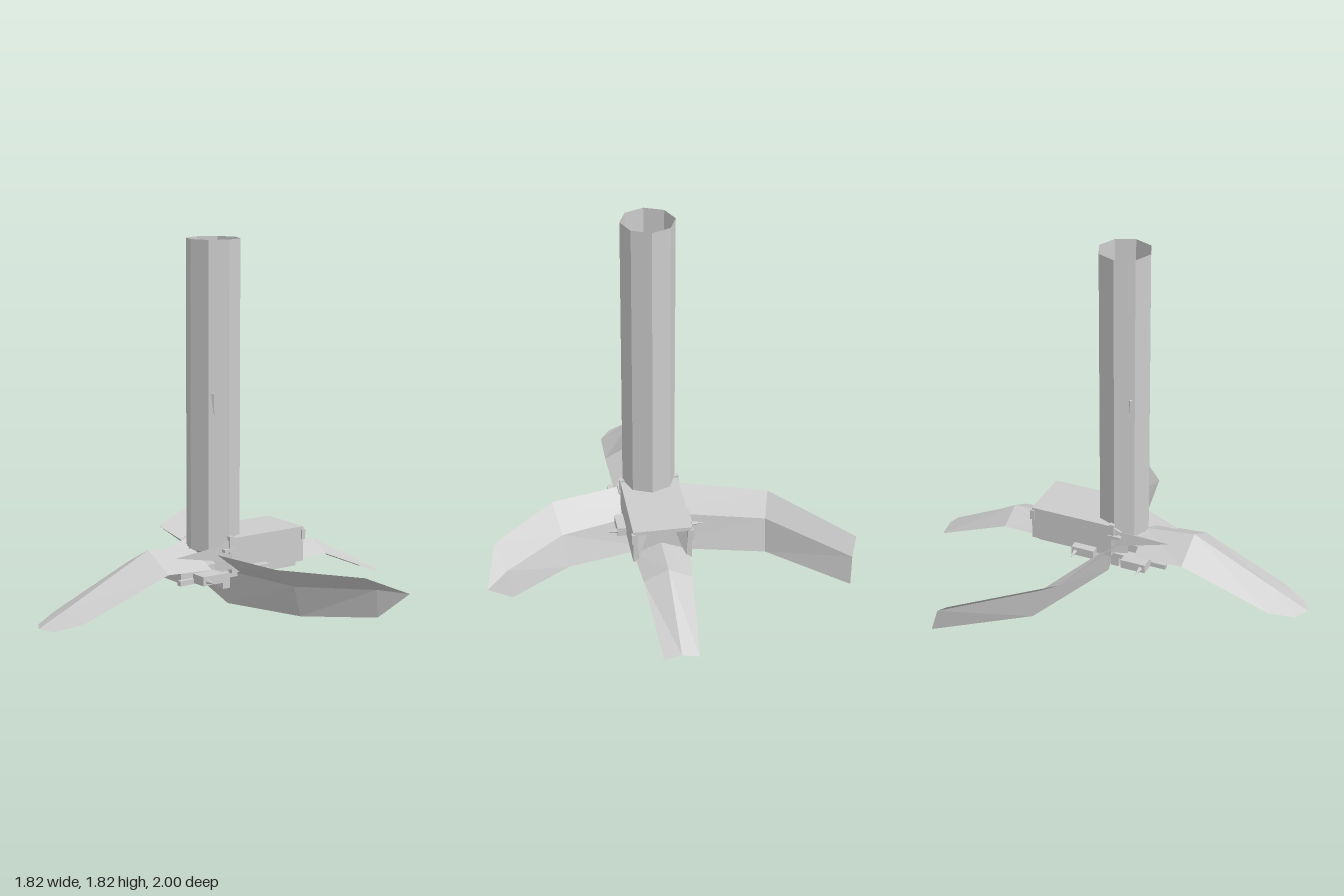
import * as THREE from 'three';

const CX = 0.043; // x of the mast and body axis

export function createModel() {
  const model = new THREE.Group();
  const grey = new THREE.MeshStandardMaterial({ color: 0xcccccc, side: THREE.DoubleSide, flatShading: true });
  grey.name = 'light grey';

  const add = (name, geo, x = 0, y = 0, z = 0) => {
    const mesh = new THREE.Mesh(geo, grey);
    mesh.name = name;
    mesh.position.set(x, y, z);
    model.add(mesh);
    return mesh;
  };
  // box given by its min and max corners, x relative to the axis
  const box = (name, x0, x1, y0, y1, z0, z1) =>
    add(name, new THREE.BoxGeometry(x1 - x0, y1 - y0, z1 - z0), CX + (x0 + x1) / 2, (y0 + y1) / 2, (z0 + z1) / 2);

  // skin joining consecutive cross-sections of equal point count
  const skin = (rows) => {
    const pos = [];
    for (let i = 0; i + 1 < rows.length; i++) {
      for (let j = 0; j + 1 < rows[i].length; j++) {
        const a = rows[i][j], b = rows[i][j + 1], c = rows[i + 1][j + 1], d = rows[i + 1][j];
        pos.push(...a, ...d, ...b, ...b, ...d, ...c);
      }
    }
    const geo = new THREE.BufferGeometry();
    geo.setAttribute('position', new THREE.Float32BufferAttribute(pos, 3));
    geo.computeVertexNormals();
    return geo;
  };
  // ridged blade along z; rows are [z, half width, ridge y, edge y]
  const ridged = (rows) => skin(rows.map(([z, w, ridge, edge, ez = z]) =>
    [[CX - w, edge, ez], [CX, ridge, z], [CX + w, edge, ez]]));

  // open octagonal mast
  add('mast', new THREE.CylinderGeometry(0.132, 0.132, 1.51, 8, 1, true), CX, 1.065, 0.01);

  // front and back blades
  add('frontBlade', ridged([
    [0.13, 0.16, 0.315, 0.24], [0.39, 0.17, 0.345, 0.255],
    [0.84, 0.135, 0.13, 0.08], [0.985, 0.075, 0.062, 0.052, 0.96], [1, 0, 0.055, 0.055],
  ]));
  add('backBlade', ridged([
    [-0.38, 0.135, 0.265, 0.21], [-0.61, 0.12, 0.265, 0.205], [-1, 0.085, 0.06, 0.04],
  ]));

  // side blades, each section running front edge, ridge, lower edge
  const root = [[CX, 0.3, 0.1], [CX, 0.19, -0.03], [CX, 0.005, -0.08]];
  add('leftBlade', skin([
    root,
    [[0.535, 0.29, -0.005], [0.5, 0.18, -0.14], [0.48, 0.02, -0.195]],
    [[0.85, 0.275, -0.285], [0.8, 0.19, -0.4], [0.78, 0.045, -0.425]],
    [[0.905, 0.175, -0.515], [0.905, 0.175, -0.515], [0.905, 0.175, -0.515]],
  ]));
  add('rightBlade', skin([
    root,
    [[-0.555, 0.285, -0.07], [-0.52, 0.2, -0.19], [-0.515, 0.03, -0.24]],
    [[-0.91, 0.265, -0.495], [-0.875, 0.2, -0.57], [-0.86, 0.07, -0.615]],
  ]));

  // body shell with an arched section, recessed back wall and floor
  const arch = new THREE.Shape([
    [-0.145, 0.2], [-0.145, 0.375], [0.145, 0.375], [0.145, 0.2], [0.115, 0.2], [0.125, 0.355], [-0.125, 0.355], [-0.115, 0.2],
  ].map(([x, y]) => new THREE.Vector2(x, y)));
  add('bodyShell', new THREE.ExtrudeGeometry(arch, { depth: 0.44, bevelEnabled: false }), CX, 0, -0.44);
  box('bodyCore', -0.125, 0.125, 0.21, 0.36, -0.39, 0);

  // sloping nose in front of the body
  add('nose', skin([
    [[CX - 0.145, 0.22, 0], [CX - 0.145, 0.375, 0], [CX + 0.145, 0.375, 0], [CX + 0.145, 0.22, 0]],
    [[CX - 0.115, 0.22, 0.08], [CX - 0.115, 0.31, 0.08], [CX + 0.115, 0.31, 0.08], [CX + 0.115, 0.22, 0.08]],
  ]));

  // undercarriage: keel block and lengthwise rails
  box('keel', -0.07, 0.07, 0.17, 0.24, -0.4, 0.25);
  box('crossPlate', -0.1, 0.1, 0.115, 0.17, -0.02, 0.02);

  for (const s of [-1, 1]) {
    const side = s > 0 ? 'left' : 'right';
    const x = (v) => CX + s * v;
    const span = (name, a, b, ...rest) => box(side + name, Math.min(s * a, s * b), Math.max(s * a, s * b), ...rest);

    span('Rail', 0.085, 0.11, 0.17, 0.195, -0.42, 0.28);

    // pointed prongs reaching over the front blade
    add(side + 'Prong', skin([
      [[x(0.14), 0.35, 0.02], [x(0.14), 0.26, 0.02], [x(0.06), 0.3, 0.08], [x(0.14), 0.35, 0.02]],
      [0, 0, 0, 0].map(() => [x(0.075), 0.3, 0.28]),
    ]));

    // side pads with pointed pins
    for (const [z0, z1, y] of [[0.07, 0.2, 0.2], [-0.2, -0.08, 0.21]]) {
      span('Pad', 0.1, 0.188, y - 0.025, y + 0.02, z0, z1);
      const pin = add(side + 'Pin', new THREE.ConeGeometry(0.012, 0.07, 6), x(0.22), y - 0.005, z0 > 0 ? 0.175 : -0.18);
      pin.rotation.z = -s * Math.PI / 2;
    }

    // clips at the front and back corners of the body
    span('FrontClip', 0.125, 0.15, 0.3, 0.385, -0.01, 0.015);
    span('FrontHook', 0.11, 0.155, 0.31, 0.325, -0.015, 0.05);
    span('BackClip', 0.135, 0.152, 0.31, 0.362, -0.447, -0.425);

    // slanted brace in the back opening
    add(side + 'Brace', skin([
      [[x(0.12), 0.36, -0.435], [x(0.06), 0.36, -0.4]],
      [[x(0.12), 0.2, -0.435], [x(0.115), 0.2, -0.4]],
    ]));

    // thin fin on the mast
    const fin = add(side + 'MastFin', new THREE.ConeGeometry(0.009, 0.15, 4), x(0.103), 1.015, 0.08);
    fin.rotation.set(Math.PI + 0.1, 0, s * 0.03);
  }
  return model;
}
